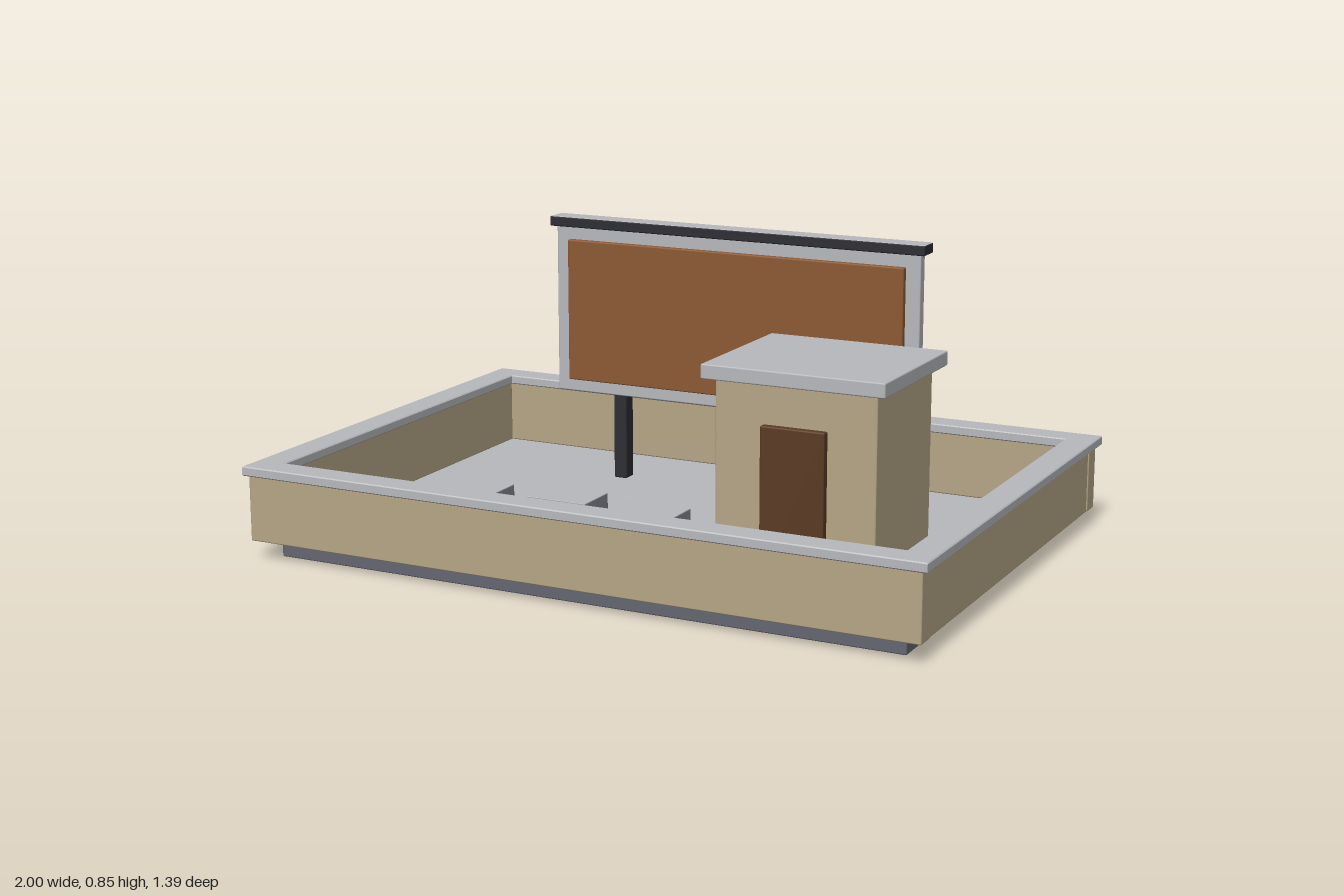
import * as THREE from 'three';
import { RoundedBoxGeometry } from 'three/addons/geometries/RoundedBoxGeometry.js';

export function createModel() {
  const model = new THREE.Group();
  model.name = 'rooftop';

  const paint = (name, color) => {
    const m = new THREE.MeshStandardMaterial({ color });
    m.name = name;
    return m;
  };
  const lightGrey = paint('lightGrey', 0xb9babe);
  const slateGrey = paint('slateGrey', 0x656772);
  const unitGrey = paint('unitGrey', 0x868891);
  const tan = paint('tan', 0xb6a787);
  const rust = paint('rust', 0x8e5a33);
  const doorBrown = paint('doorBrown', 0x5a3b23);
  const charcoal = paint('charcoal', 0x2d2d34);

  // Softly bevelled box given by its min and max corners; the top face may differ in colour
  function box(name, [x0, y0, z0], [x1, y1, z1], mat, topMat = mat, parent = model) {
    const geo = new RoundedBoxGeometry(x1 - x0, y1 - y0, z1 - z0, 1, 0.004);
    const mesh = new THREE.Mesh(geo, topMat === mat ? mat : [mat, mat, topMat, mat, mat, mat]);
    mesh.position.set((x0 + x1) / 2, (y0 + y1) / 2, (z0 + z1) / 2);
    mesh.name = name;
    parent.add(mesh);
    return mesh;
  }

  // Foundation slab, whose top is the roof deck
  const deck = 0.055;
  box('deckSlab', [-0.925, 0, -0.625], [0.925, deck, 0.625], slateGrey, lightGrey);

  // Parapet walls: long front and back walls, side walls fitted between them
  for (const s of [-1, 1]) {
    const z = s * 0.6545, x = s * 0.9525;
    box(s > 0 ? 'frontWall' : 'backWall', [-0.985, 0.053, z - 0.03], [0.985, 0.242, z + 0.03], tan);
    box(s > 0 ? 'leftWall' : 'rightWall', [x - 0.03, 0.053, -0.625], [x + 0.03, 0.242, 0.625], tan);
  }

  // Coping: one rectangular ring on top of the walls
  const rect = (Type, w, d) => {
    const p = new Type();
    p.moveTo(-w, -d);
    p.lineTo(w, -d);
    p.lineTo(w, d);
    p.lineTo(-w, d);
    p.closePath();
    return p;
  };
  const ring = rect(THREE.Shape, 0.997, 0.69);
  ring.holes.push(rect(THREE.Path, 0.918, 0.615));
  const copingGeo = new THREE.ExtrudeGeometry(ring, {
    depth: 0.021, bevelThickness: 0.003, bevelSize: 0.003, bevelSegments: 1,
  });
  copingGeo.rotateX(-Math.PI / 2);
  const coping = new THREE.Mesh(copingGeo, lightGrey);
  coping.position.y = 0.241;
  coping.name = 'coping';
  model.add(coping);

  // Stair hut
  const hut = new THREE.Group();
  hut.name = 'stairHut';
  model.add(hut);
  box('hutBody', [0.305, deck, 0.042], [0.755, 0.592, 0.42], tan, tan, hut);
  box('hutRoof', [0.275, 0.59, 0.01], [0.785, 0.63, 0.447], lightGrey, lightGrey, hut);
  box('hutDoor', [0.44, deck, 0.41], [0.62, 0.483, 0.44], doorBrown, doorBrown, hut);

  // Billboard
  const board = new THREE.Group();
  board.name = 'billboard';
  model.add(board);
  box('boardBacking', [-0.577, 0.317, -0.352], [0.577, 0.818, -0.32], lightGrey, lightGrey, board);
  box('boardFace', [-0.533, 0.355, -0.33], [0.533, 0.778, -0.303], rust, rust, board);
  box('boardCap', [-0.593, 0.815, -0.372], [0.593, 0.845, -0.305], charcoal, lightGrey, board);
  for (const x of [-0.385, 0.38]) {
    box('boardPost', [x - 0.021, deck, -0.395], [x + 0.021, 0.753, -0.35], charcoal, charcoal, board);
  }

  // Air units with a round fan on the front
  for (const [x, z] of [[-0.475, 0.34], [-0.2, 0.302], [0.073, 0.34]]) {
    const unit = new THREE.Group();
    unit.name = 'airUnit';
    model.add(unit);
    box('unitCase', [x - 0.09, deck, z - 0.067], [x + 0.09, 0.188, z + 0.067], unitGrey, lightGrey, unit);
    const fan = new THREE.Mesh(new THREE.CylinderGeometry(0.043, 0.043, 0.009, 16), charcoal);
    fan.rotation.x = Math.PI / 2;
    fan.position.set(x, 0.122, z + 0.069);
    fan.name = 'unitFan';
    unit.add(fan);
  }

  return model;
}
